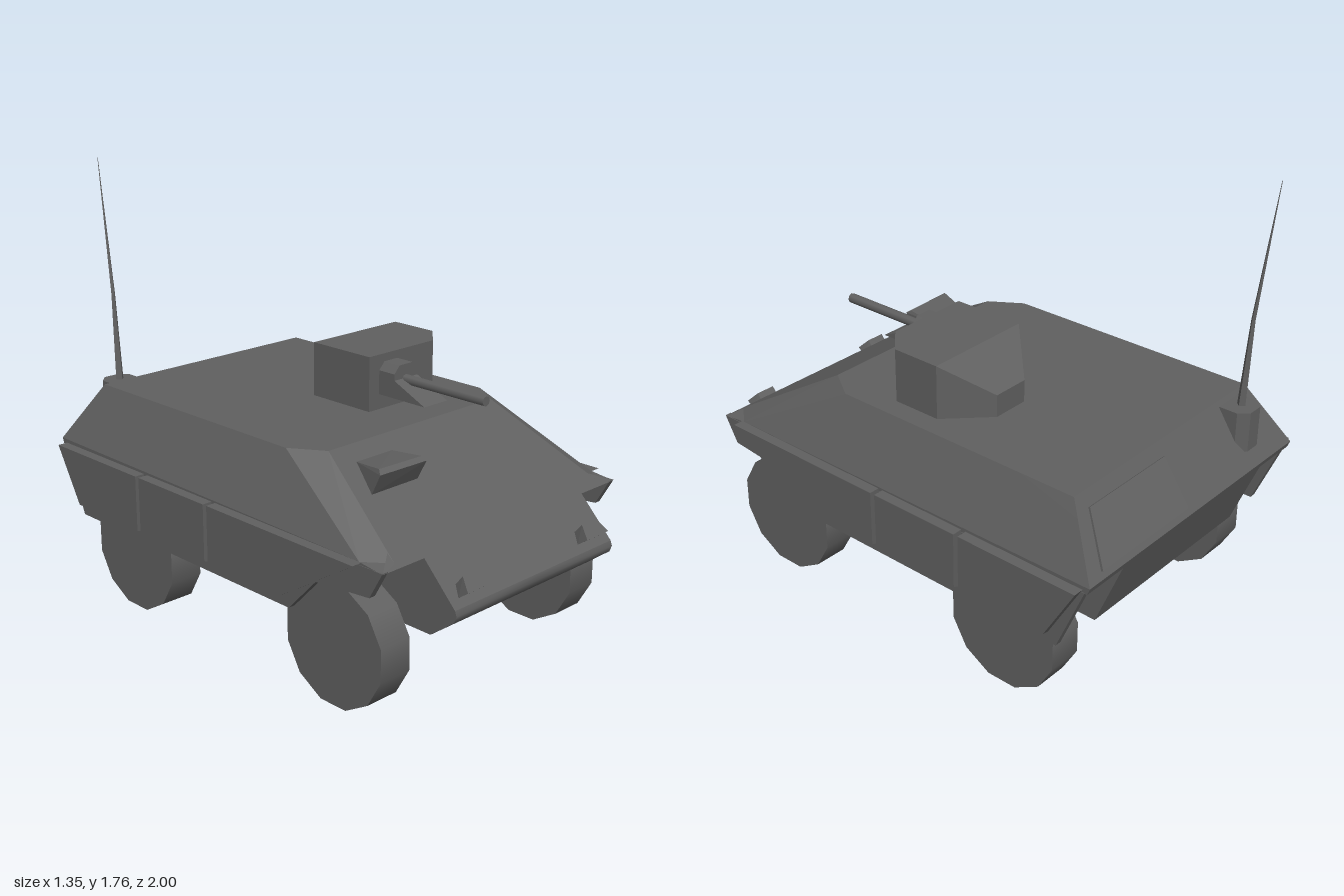
import * as THREE from 'three';
import { toCreasedNormals } from 'three/addons/utils/BufferGeometryUtils.js';
import { ConvexGeometry } from 'three/addons/geometries/ConvexGeometry.js';

const color = 0x606060;
const flat = new THREE.MeshStandardMaterial({ color, flatShading: true });
const smooth = new THREE.MeshStandardMaterial({ color });
const plate = new THREE.MeshStandardMaterial({ color, side: THREE.DoubleSide });

export function createModel() {
  const model = new THREE.Group();

  const add = (name, geometry, material = flat) => {
    const mesh = new THREE.Mesh(geometry, material);
    mesh.name = name;
    model.add(mesh);
  };
  // faceted solid around a few corners
  const solid = (name, corners) =>
    add(name, new ConvexGeometry(corners.map((c) => new THREE.Vector3(...c))));
  // side outline of [z, y] points, extruded from x0 to x1
  const slab = (name, outline, x0, x1) => {
    const shape = new THREE.Shape(outline.map(([z, y]) => new THREE.Vector2(z, y)));
    const geometry = new THREE.ExtrudeGeometry(shape, { depth: x1 - x0, bevelEnabled: false });
    geometry.rotateY(-Math.PI / 2).translate(x1, 0, 0);
    add(name, geometry);
  };
  // thin plates from left-hand polygons, mirrored to the right; edges under the crease angle are smooth
  const shell = (name, faces, crease = 0.05) => {
    const positions = [];
    for (const face of faces) {
      for (let i = 1; i < face.length - 1; i++) {
        const [a, b, c] = [face[0], face[i], face[i + 1]];
        positions.push(...a, ...b, ...c);
        for (const [x, y, z] of [a, c, b]) positions.push(-x, y, z);
      }
    }
    const geometry = new THREE.BufferGeometry();
    geometry.setAttribute('position', new THREE.Float32BufferAttribute(positions, 3));
    add(name, toCreasedNormals(geometry, crease), plate);
  };
  const centre = ([, y, z]) => [0, y, z];

  // Upper hull: hollow sloped armour with a flat lip over the wheels
  const deckRear = [0.525, 0.87, -0.84], deckSide = [0.525, 0.87, 0.25], deckFront = [0.44, 0.87, 0.38];
  const beltFront = [0.635, 0.615, 0.73], slopeFoot = [0.56, 0.615, 0.82], corner = [0.635, 0.602, 0.84];
  const beltRear = [0.635, 0.63, -1], rearFoot = [0.635, 0.602, -0.989];
  shell('upperHull', [
    [centre(deckFront), deckFront, deckSide, deckRear, centre(deckRear)],
    [centre(deckFront), centre(corner), corner, slopeFoot, deckFront],
    [deckFront, slopeFoot, beltFront, deckSide],
    [slopeFoot, corner, beltFront],
    [deckSide, beltFront, beltRear, deckRear],
    [beltFront, corner, rearFoot, beltRear],
    [centre(deckRear), deckRear, beltRear, centre(beltRear)],
    [centre(beltRear), beltRear, rearFoot, centre(rearFoot)],
    [[0.435, 0.602, 0.84], [0.435, 0.602, -0.989], rearFoot, corner],
  ]);

  // Lower hull: tub between the wheels, open underneath
  const tub = [
    [0.602, 0.84], [0.455, 0.983], [0.435, 0.99], [0.41, 0.98], [0.33, 0.875], [0.33, -0.88], [0.602, -0.989],
  ].map(([y, z]) => [0.435, y, z]);
  const strip = (i, j) => [centre(tub[i]), centre(tub[j]), tub[j], tub[i]];
  shell('lowerHull', [tub, strip(0, 1), strip(5, 6)]);
  shell('noseEdge', [strip(1, 2), strip(2, 3), strip(3, 4)], 0.8);

  for (const s of [1, -1]) {
    const side = s > 0 ? 'left' : 'right';

    // Side wall behind the skirts, rising over the front wheel
    const wall = [
      [0.84, 0.605], [0.78, 0.5], [0.52, 0.475], [0.38, 0.33], [-0.865, 0.33], [-0.98, 0.605],
    ];
    slab(side + 'SideWall', wall, s > 0 ? 0.61 : -0.637, s > 0 ? 0.637 : -0.61);

    // Three skirt panels with a bevelled lower edge: front top, front bottom, rear bottom, rear top
    const panels = [
      [0.74, 0.38, -0.02, -0.02], [-0.04, -0.04, -0.43, -0.43], [-0.45, -0.45, -0.84, -0.97],
    ];
    panels.forEach(([a, b, c, d], i) => {
      const corners = [];
      for (const [x, low] of [[0.63, 0.37], [0.677, 0.39]]) {
        const t = (0.615 - low) / 0.225;
        corners.push([s * x, 0.615, a], [s * x, low, a + (b - a) * t],
          [s * x, low, d + (c - d) * t], [s * x, 0.615, d]);
      }
      solid(side + 'SkirtPanel' + (i + 1), corners);
    });

    // Twelve-sided wheels
    for (const [end, z] of [['Front', 0.56], ['Rear', -0.585]]) {
      const wheel = new THREE.CylinderGeometry(0.243, 0.243, 0.142, 12);
      wheel.rotateY(Math.PI / 12).rotateZ(Math.PI / 2).translate(s * 0.523, 0.235, z);
      add(side + end + 'Wheel', wheel, smooth);
    }

    // Headlamp housing on the nose
    const lamp = [];
    for (const t of [1, -1]) {
      const x = s * 0.328;
      lamp.push([x + t * 0.063, 0.48, 0.958], [x + t * 0.063, 0.51, 1],
        [x + t * 0.042, 0.51, 0.922], [x + t * 0.042, 0.552, 0.957]);
    }
    solid(side + 'Headlamp', lamp);
  }

  // Driver's vision block on the front slope
  solid('visionBlock', [
    [-0.37, 0.83, 0.45], [-0.19, 0.83, 0.45], [-0.41, 0.852, 0.6], [-0.195, 0.847, 0.6],
    [-0.422, 0.836, 0.618], [-0.19, 0.833, 0.62], [-0.422, 0.755, 0.578], [-0.19, 0.755, 0.578],
  ]);

  // Raised hatch on the rear slope
  const hatch = [];
  for (const lift of [-0.01, 0.014]) {
    const y = lift * 0.55, z = -lift * 0.83;
    hatch.push([0.05, 0.65 + y, -0.982 + z], [0.555, 0.65 + y, -0.982 + z],
      [0.485, 0.82 + y, -0.866 + z], [0.05, 0.82 + y, -0.866 + z]);
  }
  solid('rearHatch', hatch);

  // Turret, with its roof sloping down at the back
  const turret = [];
  for (const [x, z, top] of [
    [-0.02, 0.165, 1.087], [0.335, 0.165, 1.087], [0.44, 0.065, 1.087], [0.44, -0.14, 1.087],
    [0.285, -0.295, 0.96], [0.13, -0.295, 0.96], [-0.02, -0.14, 1.087],
  ]) turret.push([x, 0.865, z], [x, top, z]);
  solid('turret', turret);

  // Gun mantlet, cradle wedge and barrel
  const mantlet = [];
  for (const z of [0.15, 0.245]) {
    for (const t of [1, -1]) {
      mantlet.push([0.097 + t * 0.063, 0.93, z], [0.097 + t * 0.063, 1.025, z],
        [0.097 + t * 0.035, 1.055, z]);
    }
  }
  solid('gunMantlet', mantlet);
  slab('gunCradle', [[0.15, 0.93], [0.4, 0.93], [0.245, 1.0], [0.15, 1.0]], 0.034, 0.16);
  const barrel = new THREE.CylinderGeometry(0.02, 0.02, 0.45, 8);
  barrel.rotateX(Math.PI / 2).translate(0.097, 0.995, 0.42);
  add('gunBarrel', barrel, smooth);

  // Aerial mount, chamfered towards the rear
  const mount = [];
  for (const [x, z] of [[0.068, -0.85], [0.068, -0.93], [0.033, -0.967]]) {
    for (const t of [1, -1]) mount.push([-0.403 + t * x, 0.855, z], [-0.403 + t * x, 0.69, z]);
  }
  solid('aerialMount', mount);

  // Tapered aerial leaning back, in two sections
  const rings = [[0.85, -0.903, 0.018], [1.21, -0.922, 0.009], [1.76, -0.985, 0.001]];
  for (let i = 0; i < 2; i++) {
    const corners = [];
    for (const [y, z, r] of [rings[i], rings[i + 1]]) {
      for (const [dx, dz] of [[1, 0], [-1, 0], [0, 1], [0, -1]]) {
        corners.push([-0.405 + dx * r, y, z + dz * r]);
      }
    }
    solid(i ? 'aerialTip' : 'aerialBase', corners);
  }

  return model;
}
